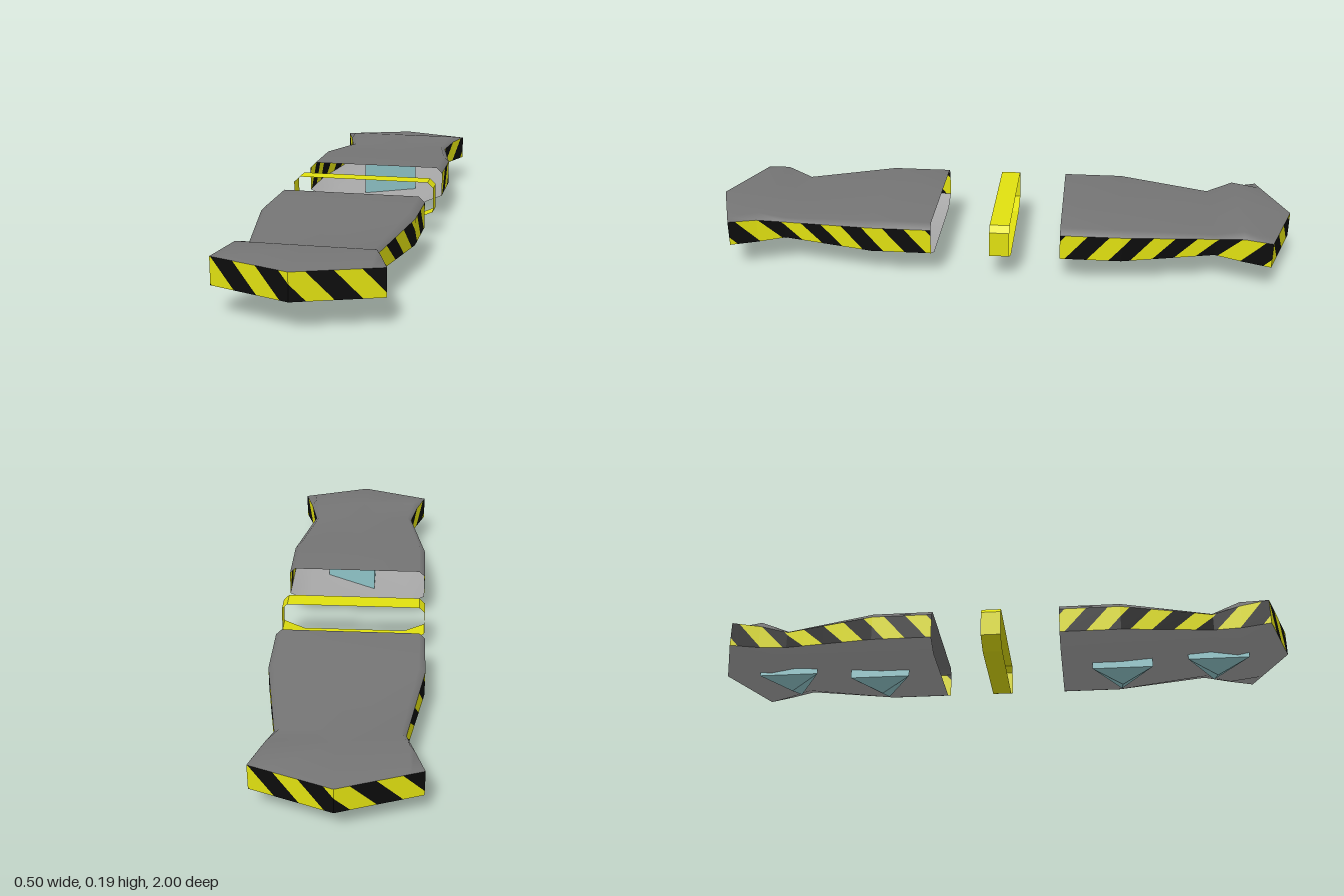
import * as THREE from 'three';

const mat = (name, color, side = THREE.DoubleSide) => {
  const m = new THREE.MeshStandardMaterial({ color, side });
  m.name = name;
  return m;
};
const darkGrey = mat('dark grey', 0x757575);
const lightGrey = mat('light grey', 0xa8a8a8);
const yellow = mat('yellow', 0xe0e010);
const black = mat('black', 0x0c0c0c);
const teal = mat('pale teal', 0x8fc4c8, THREE.FrontSide);

// Hull stations: z, wall half width, wall low, wall high, roof half width, roof y, floor half width, floor y
const OPEN = [0.25, 0.09, 0.175, 0.23, 0.195, 0.18, 0.06];
const stations = [
  [0.216, ...OPEN],
  [0.42, ...OPEN],
  [0.73, 0.195, 0.1, 0.158, 0.18, 0.168, 0.14, 0.083],
  [0.82, 0.22, 0.092, 0.173, 0.205, 0.195, 0.165, 0.068],
];
const CAP = { w: 0.25, z: 0.91, tip: 1, low: 0.09, high: 0.175 };
const capZ = (x) => CAP.tip - (CAP.tip - CAP.z) * Math.abs(x) / CAP.w;

function mesh(name, geometry, material) {
  const m = new THREE.Mesh(geometry, material);
  m.name = name;
  return m;
}

function buffer(points, index) {
  const g = new THREE.BufferGeometry();
  g.setAttribute('position', new THREE.Float32BufferAttribute(points.flat(), 3));
  if (index) g.setIndex(index);
  g.computeVertexNormals();
  return g;
}

// Smooth sheet through rows of points
function sheet(rows, flip) {
  const n = rows[0].length, index = [];
  for (let r = 0; r < rows.length - 1; r++) {
    for (let c = 0; c < n - 1; c++) {
      const a = r * n + c, b = a + 1, d = a + n, e = d + 1;
      index.push(...(flip ? [a, b, d, b, e, d] : [a, d, b, b, d, e]));
    }
  }
  return buffer(rows.flat(), index);
}

// Roof or floor rows, closing onto the pointed end
function panelRows(isRoof) {
  const rows = stations.map(([z, w, low, high, rw, ry, fw, fy]) => {
    const [edge, iw, iy] = isRoof ? [high, rw, ry] : [low, fw, fy];
    return [[-w, edge, z], [-iw, iy, z], [0, iy, z], [iw, iy, z], [w, edge, z]];
  });
  const y = isRoof ? CAP.high : CAP.low, i = isRoof ? 0.21 : 0.18;
  rows.push([-CAP.w, -i, 0, i, CAP.w].map((x) => [x, y, capZ(x)]));
  return rows;
}

// Keep the part of a polygon where sign * (u - limit) >= 0
function clip(poly, limit, sign) {
  const out = [];
  poly.forEach((p, i) => {
    const q = poly[(i + 1) % poly.length];
    const dp = sign * (p[0] - limit), dq = sign * (q[0] - limit);
    if (dp >= 0) out.push(p);
    if (dp * dq < 0) {
      const t = dp / (dp - dq);
      out.push([limit, p[1] + (q[1] - p[1]) * t]);
    }
  });
  return out;
}

// Cuts a wall panel into slanted bands; u runs from a.u to b.u, v from low to high
const PERIOD = 0.145, BAND = 0.0725, SLANT = -0.075;
function stripePanel(a, b, start, out, flip) {
  const at = ([u, v]) => {
    const t = (u - a.u) / (b.u - a.u);
    const mix = (k) => a[k] + (b[k] - a[k]) * t;
    return [mix('x'), mix('low') + (mix('high') - mix('low')) * v, mix('z')];
  };
  const first = Math.floor((a.u - start) / BAND) - 1;
  const last = Math.ceil((b.u - SLANT - start) / BAND) + 1;
  for (let k = first; k <= last; k++) {
    const u = start + k * BAND;
    let poly = [[u, 0], [u + BAND, 0], [u + BAND + SLANT, 1], [u + SLANT, 1]];
    poly = clip(clip(poly, a.u, 1), b.u, -1).map(at);
    if (flip) poly.reverse();
    const list = k % 2 === 0 ? out.black : out.yellow;
    for (let i = 1; i < poly.length - 1; i++) list.push(poly[0], poly[i], poly[i + 1]);
  }
}

function createShell() {
  const shell = new THREE.Group();
  shell.add(mesh('roof', sheet(panelRows(true), false), darkGrey));
  shell.add(mesh('floor', sheet(panelRows(false), true), lightGrey));

  const out = { black: [], yellow: [] };
  // Side walls
  for (const s of [1, -1]) {
    const path = stations.map(([z, w, low, high]) => ({ u: -z, x: s * w, low, high, z }));
    path.push({ u: -CAP.z, x: s * CAP.w, low: CAP.low, high: CAP.high, z: CAP.z });
    path.reverse();
    for (let i = 0; i < path.length - 1; i++) {
      stripePanel(path[i], path[i + 1], -0.305, out, s < 0);
    }
  }
  // Pointed end wall
  const end = [-CAP.w, 0, CAP.w].map((x) => ({ u: x, x, low: CAP.low, high: CAP.high, z: capZ(x) }));
  for (let i = 0; i < 2; i++) stripePanel(end[i], end[i + 1], -0.172, out, false);

  shell.add(mesh('blackStripes', buffer(out.black), black));
  shell.add(mesh('yellowStripes', buffer(out.yellow), yellow));
  return shell;
}

// Flat-sided band with the same section as the open hull end
function createRing() {
  const [w, low, high, rw, ry, fw, fy] = OPEN;
  const half = [[fw, fy], [w, low], [w, high], [rw, ry]];
  const loop = [...half, ...half.map(([x, y]) => [-x, y]).reverse()];
  const z0 = -0.048, z1 = 0.019, pts = [];
  loop.forEach(([x, y], i) => {
    const [p, q] = loop[(i + 1) % loop.length];
    pts.push([x, y, z1], [x, y, z0], [p, q, z0], [x, y, z1], [p, q, z0], [p, q, z1]);
  });
  return mesh('middleRing', buffer(pts), yellow);
}

// Three-sided prism with a pyramid point beneath
function createKeel(apex, shoulder, top) {
  const keel = new THREE.Group();
  keel.name = 'keelSpike';
  const R = 0.12;
  const prism = new THREE.CylinderGeometry(R, R, top - shoulder, 3).toNonIndexed();
  prism.translate(0, (top + shoulder) / 2, 0);
  const point = new THREE.ConeGeometry(R, shoulder - apex, 3, 1, true).toNonIndexed();
  point.rotateX(Math.PI).rotateY(Math.PI);
  point.translate(0, (apex + shoulder) / 2, 0);
  for (const [name, g] of [['spikeBody', prism], ['spikePoint', point]]) {
    g.rotateY(Math.PI / 2); // one corner towards +x
    g.computeVertexNormals();
    keel.add(mesh(name, g, teal));
  }
  return keel;
}

export function createModel() {
  const model = new THREE.Group();
  model.name = 'splitHull';

  const front = createShell();
  front.name = 'frontShell';
  const back = createShell();
  back.name = 'backShell';
  back.rotation.y = Math.PI;
  model.add(front, back, createRing());

  for (const s of [1, -1]) {
    const inner = createKeel(0, 0.037, 0.185);
    inner.position.z = s * 0.425;
    const outer = createKeel(0.022, 0.059, 0.155);
    outer.position.z = s * 0.755;
    model.add(inner, outer);
  }
  return model;
}
